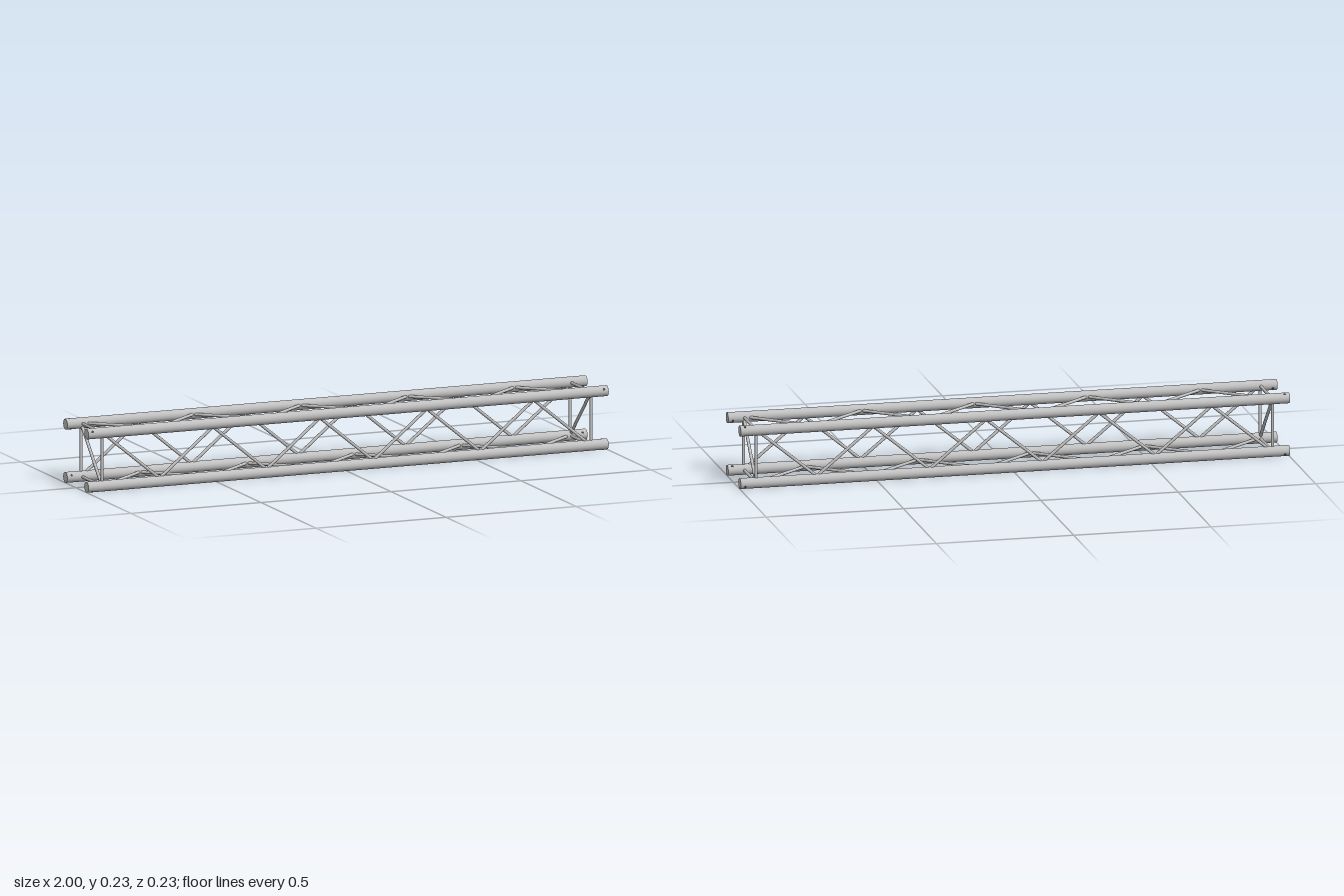
import * as THREE from 'three';

const R = 0.0193;        // chord radius
const H = 0.0962;        // half distance between chord axes
const CY = H + R;        // height of the truss axis
const BR = 0.0056;       // brace radius
const EDGE = H - R + 0.003; // where braces meet the chord surface

export function createModel() {
  const aluminium = new THREE.MeshStandardMaterial({ color: 0xc0c0c0 });
  const holeDark = new THREE.MeshStandardMaterial({ color: 0x4a4a4a });
  const truss = new THREE.Group();
  truss.name = 'boxTruss';

  // round bar between two points
  function bar(name, a, b, radius, sides, material = aluminium) {
    const from = new THREE.Vector3(...a), to = new THREE.Vector3(...b);
    const dir = to.clone().sub(from);
    const mesh = new THREE.Mesh(new THREE.CylinderGeometry(radius, radius, dir.length(), sides), material);
    mesh.position.copy(from).add(to).multiplyScalar(0.5);
    mesh.quaternion.setFromUnitVectors(new THREE.Vector3(0, 1, 0), dir.normalize());
    mesh.name = name;
    return mesh;
  }

  // one side: a chord, its pin holes, end posts and a zigzag of lacing
  function side(name, flip) {
    const g = new THREE.Group();
    g.name = name;
    g.add(bar('chord', [-1, H, H], [1, H, H], R, 32));
    for (const end of [-1, 1]) {
      // pin hole through the chord, tilted 30 degrees above the face normal
      const dy = Math.sin(Math.PI / 6) * (R + 0.0003), dz = Math.cos(Math.PI / 6) * (R + 0.0003);
      g.add(bar('pinHole', [end * 0.983, H - dy, H - dz], [end * 0.983, H + dy, H + dz], 0.0045, 16, holeDark));
      g.add(bar('endPost', [end * 0.94, -EDGE, H], [end * 0.94, EDGE, H], BR, 16));
    }
    const count = 9, pitch = 0.2055;
    for (let i = 0; i < count; i++) {
      const x = (i - (count - 1) / 2) * pitch;
      const s = (i % 2 ? -1 : 1) * flip;
      g.add(bar('lacing', [x - 0.097, s * EDGE, H], [x + 0.097, -s * EDGE, H], BR, 16));
    }
    return g;
  }

  // four sides, each turned a quarter about the long axis
  ['frontSide', 'topSide', 'backSide', 'bottomSide'].forEach((name, i) => {
    // front and back lace in opposite directions, as do top and bottom
    const s = side(name, 1);
    s.rotation.x = -i * Math.PI / 2;
    s.position.y = CY;
    truss.add(s);
  });

  // diagonal brace closing each end frame
  const d = H - R * Math.SQRT1_2 + 0.002;
  for (const end of [-1, 1]) {
    truss.add(bar('endDiagonal', [end * 0.94, CY + d, end * d], [end * 0.94, CY - d, -end * d], BR, 16));
  }
  return truss;
}
